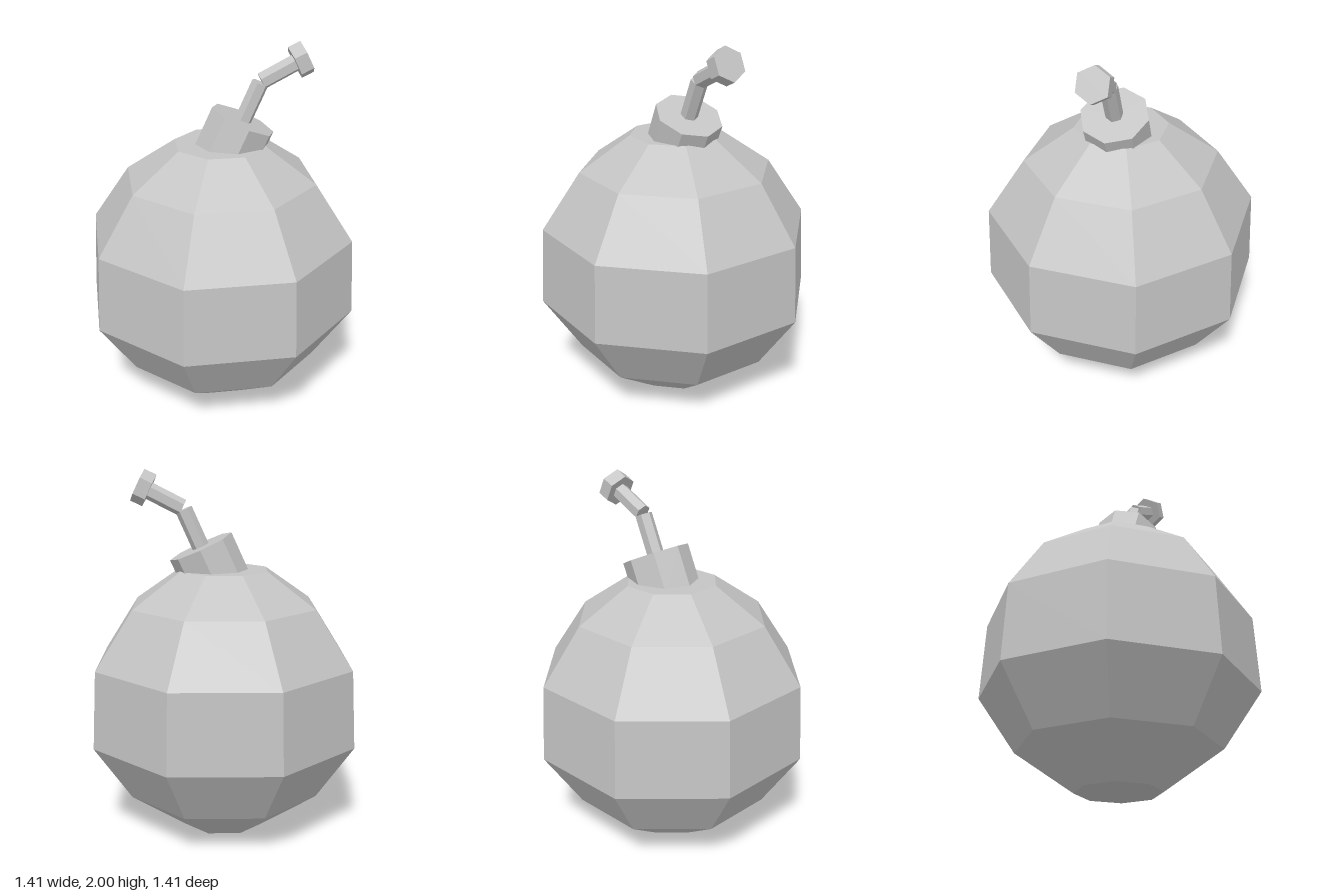
import * as THREE from 'three';

const grey = new THREE.MeshStandardMaterial({ color: 0xc4c4c4 });
grey.name = 'grey';

// Gives every face its own flat normal
function faceted(geometry) {
  const flat = geometry.toNonIndexed();
  flat.computeVertexNormals();
  return flat;
}

function addPart(group, name, geometry) {
  const mesh = new THREE.Mesh(faceted(geometry), grey);
  mesh.name = name;
  group.add(mesh);
}

// Prism between two points in the x-y plane, with a corner pointing along that plane
function prism([x0, y0], [x1, y1], radius, sides) {
  const dx = x1 - x0, dy = y1 - y0;
  const geometry = new THREE.CylinderGeometry(radius, radius, Math.hypot(dx, dy), sides, 1, false, Math.PI / 2);
  geometry.rotateZ(-Math.atan2(dx, dy));
  geometry.translate((x0 + x1) / 2, (y0 + y1) / 2, 0);
  return geometry;
}

export function createModel() {
  const group = new THREE.Group();
  group.name = 'roundBomb';

  // Eight-sided ball: distance of each ring's flat sides from the axis, and height
  const rings = [[0, 0], [0.215, 0], [0.51, 0.22], [0.705, 0.53], [0.685, 0.96], [0.49, 1.275], [0.235, 1.465], [0, 1.465]];
  const profile = rings.map(([r, y]) => new THREE.Vector2(r / Math.cos(Math.PI / 8), y));
  addPart(group, 'body', new THREE.LatheGeometry(profile, 8, Math.PI / 8));

  // Tilted neck sunk into the top of the ball
  addPart(group, 'collar', prism([0.03, 1.381], [0.125, 1.59], 0.184, 8));

  // Bent fuse with a thicker tip
  addPart(group, 'lowerFuse', prism([0.108, 1.55], [0.215, 1.79], 0.047, 6));
  addPart(group, 'upperFuse', prism([0.222, 1.798], [0.405, 1.892], 0.047, 6));
  addPart(group, 'fuseTip', prism([0.398, 1.89], [0.462, 1.921], 0.093, 6));

  return group;
}
